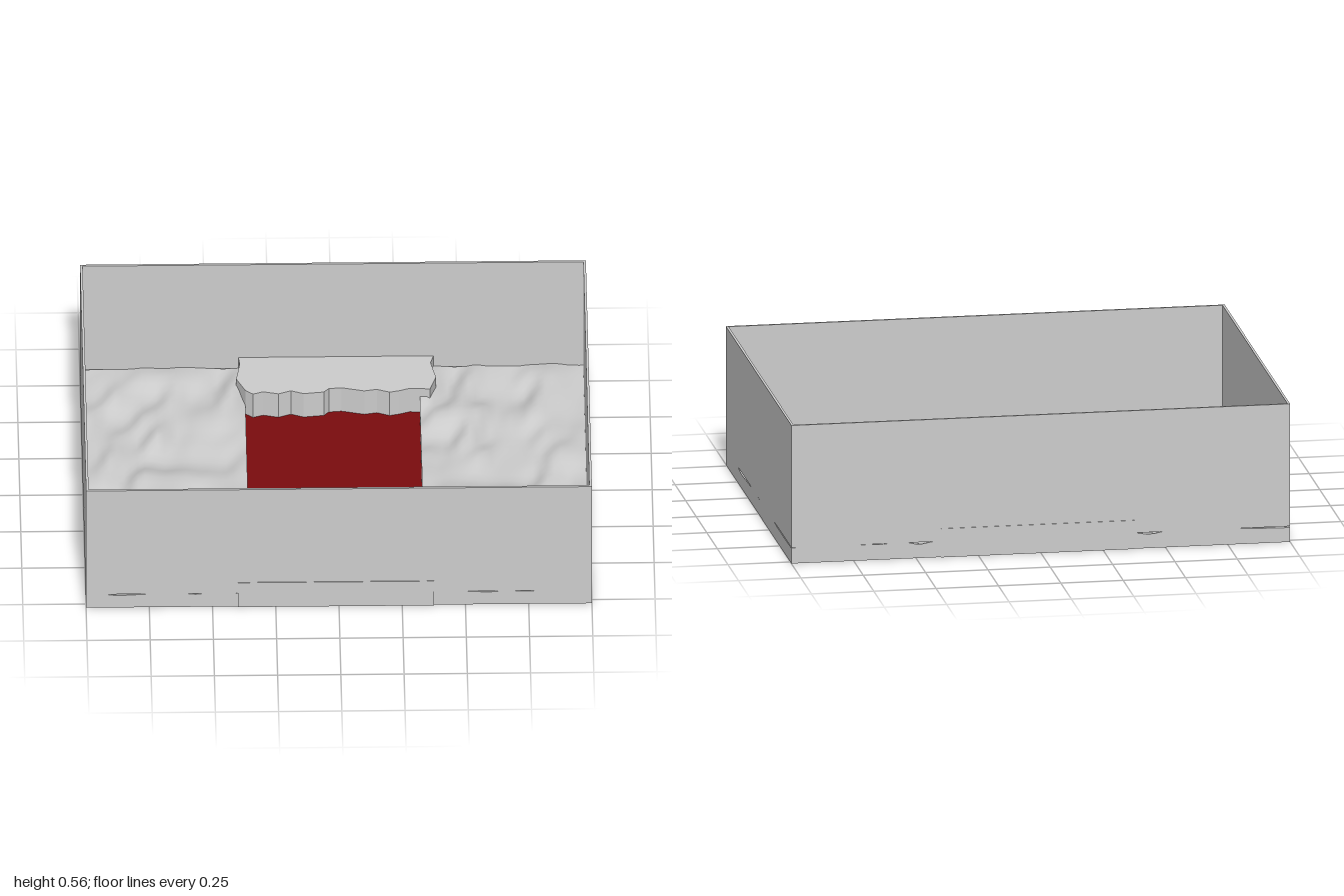
import * as THREE from 'three';

const W = 2, D = 1.55, GROUND = 0.065, WALL = 0.5;
const grey = new THREE.MeshStandardMaterial({ color: 0xcccccc, side: THREE.DoubleSide });
const red = new THREE.MeshStandardMaterial({ color: 0x7a0c0e, side: THREE.DoubleSide });

// Repeatable smooth noise in -1..1
const hash = (i, j) => {
  const s = Math.sin(i * 127.1 + j * 311.7) * 43758.5453;
  return (s - Math.floor(s)) * 2 - 1;
};
function noise(x, z) {
  const i = Math.floor(x), j = Math.floor(z);
  const u = THREE.MathUtils.smoothstep(x - i, 0, 1), v = THREE.MathUtils.smoothstep(z - j, 0, 1);
  const { lerp } = THREE.MathUtils;
  return lerp(lerp(hash(i, j), hash(i + 1, j), u), lerp(hash(i, j + 1), hash(i + 1, j + 1), u), v);
}

function add(parent, name, geometry, material, x = 0, y = 0, z = 0) {
  const mesh = new THREE.Mesh(geometry, material);
  mesh.name = name;
  mesh.position.set(x, y, z);
  parent.add(mesh);
  return mesh;
}

// Box with its underside left out and its top moved by a height rule
function bumpyBank(x0, x1) {
  const g = new THREE.BoxGeometry(x1 - x0, GROUND, D, 24, 1, 40);
  g.translate((x0 + x1) / 2, GROUND / 2, 0);
  const p = g.attributes.position;
  for (let i = 0; i < p.count; i++) {
    if (p.getY(i) < GROUND / 2) continue;
    const x = p.getX(i), z = p.getZ(i);
    const edge = Math.min(1, (1 - Math.abs(x)) / 0.1, (D / 2 - Math.abs(z)) / 0.1);
    const n = noise(x * 13 + z * 3, z * 7);
    p.setY(i, GROUND + (0.01 + 0.02 * edge) * n);
  }
  const bottom = g.groups[3], index = Array.from(g.index.array);
  index.splice(bottom.start, bottom.count);
  g.setIndex(index);
  g.clearGroups();
  g.computeVertexNormals();
  return g;
}

// Ragged ledge outline, seen from above as [x, z]
const ledgeOutline = [
  [-0.375, -0.78], [-0.37, -0.72], [-0.385, -0.62], [-0.35, -0.54],
  [-0.32, -0.515], [-0.28, -0.53], [-0.22, -0.515], [-0.17, -0.535], [-0.12, -0.515],
  [-0.04, -0.525], [-0.02, -0.548], [0.03, -0.553], [0.12, -0.53], [0.17, -0.54],
  [0.22, -0.52], [0.26, -0.53], [0.30, -0.545], [0.38, -0.54],
  [0.405, -0.62], [0.385, -0.72], [0.4, -0.78],
];

export function createModel() {
  const model = new THREE.Group();
  model.name = 'walledTerrain';

  // Red floor, just short of the walls
  add(model, 'floor', new THREE.PlaneGeometry(W - 0.08, D - 0.08).rotateX(-Math.PI / 2), red, 0, 0.004);

  // Uneven ground on both sides of the channel
  add(model, 'rightBank', bumpyBank(-1, -0.35), grey);
  add(model, 'leftBank', bumpyBank(0.34, 1), grey);

  // Ragged ledges at both ends of the channel
  const shape = new THREE.Shape(ledgeOutline.map(([x, z]) => new THREE.Vector2(x, -z)));
  const ledge = new THREE.ExtrudeGeometry(shape, { depth: 0.117, bevelEnabled: false });
  ledge.rotateX(-Math.PI / 2);
  add(model, 'backLedge', ledge, grey);
  add(model, 'frontLedge', ledge, grey).rotation.y = Math.PI;

  // Thin walls standing on the ground level
  const t = 0.01, y = GROUND + WALL / 2;
  for (const s of [-1, 1]) {
    add(model, s > 0 ? 'frontWall' : 'backWall', new THREE.BoxGeometry(W, WALL, t), grey, 0, y, s * (D / 2 - t / 2 + 0.002));
    add(model, s > 0 ? 'leftWall' : 'rightWall', new THREE.BoxGeometry(t, WALL, D), grey, s * (W / 2 - t / 2), y, 0);
  }
  return model;
}
